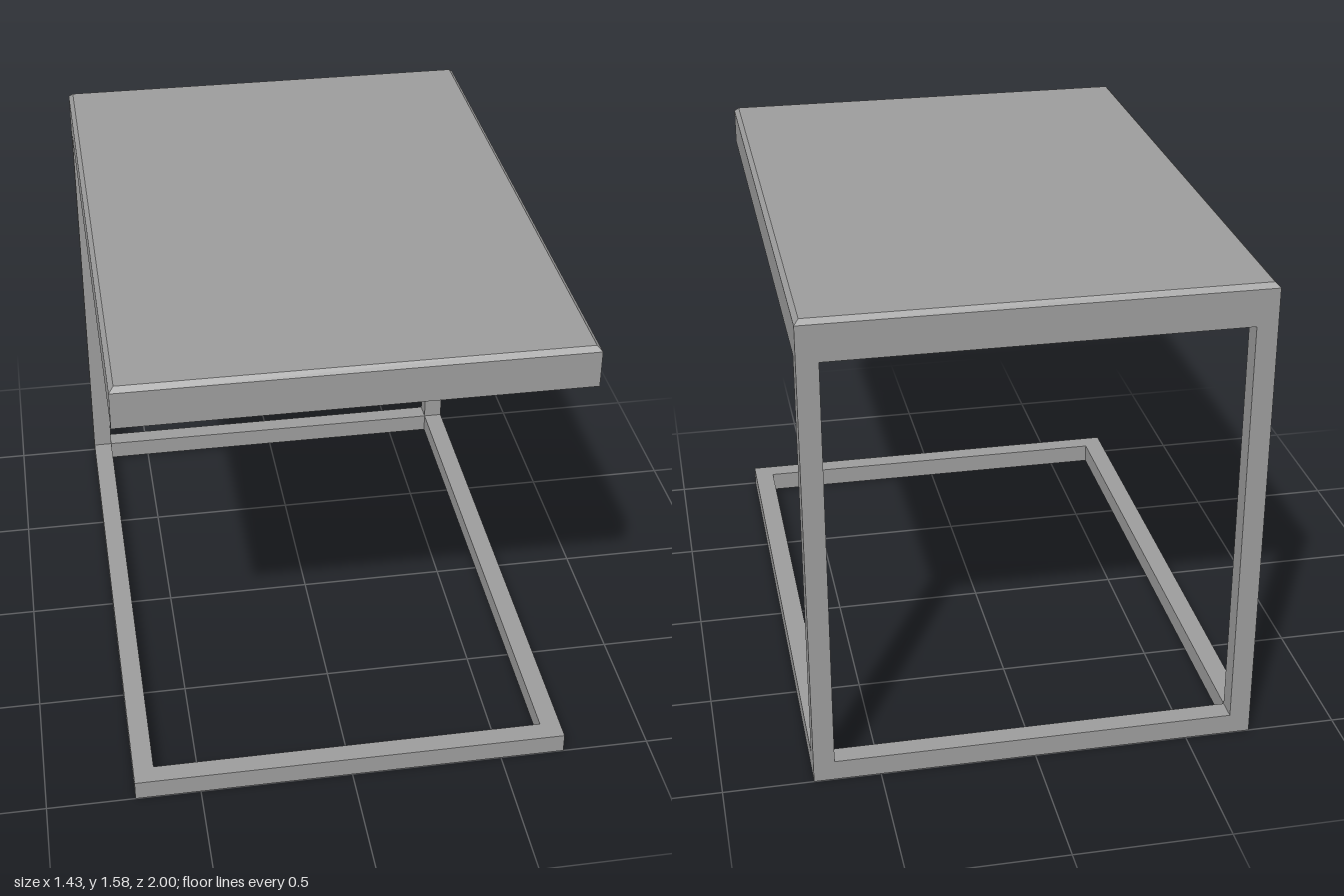
import * as THREE from 'three';

const W = 1.426, D = 2, T = 0.067;         // footprint and bar thickness
const RAIL_Y = 1.447, PANEL_Y = 1.513, EDGE_Y = 1.565, TOP_Y = 1.58;

const mat = new THREE.MeshStandardMaterial({ color: 0x9b9b9b, flatShading: true, side: THREE.DoubleSide });

function add(group, name, geometry, x = 0, y = 0, z = 0) {
  const mesh = new THREE.Mesh(geometry, mat);
  mesh.name = name;
  mesh.position.set(x, y, z);
  group.add(mesh);
}

// Four upright walls without top or bottom; inward turns the faces to the inside
function walls(w, h, d, inward = false) {
  const g = new THREE.BoxGeometry(w, h, d);
  const idx = Array.from(g.index.array).filter((_, i) => i < 12 || i >= 24);
  g.setIndex(inward ? idx.reverse() : idx);
  g.computeVertexNormals();
  return g;
}

// Horizontal strip facing up
const strip = (w, d) => new THREE.PlaneGeometry(w, d).rotateX(-Math.PI / 2);

export function createModel() {
  const model = new THREE.Group();
  model.name = 'sideTable';

  // Base frame: channel bars, hollow and open underneath
  const base = new THREE.Group();
  base.name = 'baseFrame';
  model.add(base);
  add(base, 'baseOuterWalls', walls(W, T, D), 0, T / 2);
  add(base, 'baseInnerWalls', walls(W - 2 * T, T, D - 2 * T, true), 0, T / 2);
  add(base, 'baseFrontBarTop', strip(W, T), 0, T, D / 2 - T / 2);
  add(base, 'baseBackBarTop', strip(W - 2 * T, T), 0, T, -D / 2 + T / 2);

  for (const s of [-1, 1]) {
    const x = s * (W - T) / 2;
    add(base, 'baseSideBarTop', strip(T, D - 2 * T), x, T, 0);
    // Back legs: square tubes running up from the base channel
    add(model, 'backLeg', walls(T, RAIL_Y - T, T), x, (RAIL_Y + T) / 2, -D / 2 + T / 2);
  }

  // Rail under the top, leaving the panel recessed
  const rect = (Type, w, d) => new Type([
    new THREE.Vector2(-w / 2, -d / 2), new THREE.Vector2(w / 2, -d / 2),
    new THREE.Vector2(w / 2, d / 2), new THREE.Vector2(-w / 2, d / 2),
  ]);
  const ring = rect(THREE.Shape, W, D);
  ring.holes.push(rect(THREE.Path, W - 2 * T, D - 2 * T));
  const rail = new THREE.ExtrudeGeometry(ring, { depth: PANEL_Y - RAIL_Y, bevelEnabled: false });
  add(model, 'topRail', rail.rotateX(-Math.PI / 2), 0, RAIL_Y);

  // Table top with a chamfered upper edge
  add(model, 'tableTop', new THREE.BoxGeometry(W, EDGE_Y - PANEL_Y, D), 0, (EDGE_Y + PANEL_Y) / 2);
  const c = TOP_Y - EDGE_Y;
  const chamfer = new THREE.BoxGeometry(W, c, D);
  const p = chamfer.attributes.position;
  for (let i = 0; i < p.count; i++) {
    if (p.getY(i) > 0) {
      p.setX(i, p.getX(i) - Math.sign(p.getX(i)) * c);
      p.setZ(i, p.getZ(i) - Math.sign(p.getZ(i)) * c);
    }
  }
  chamfer.computeVertexNormals();
  add(model, 'tableTopChamfer', chamfer, 0, EDGE_Y + c / 2);

  return model;
}
